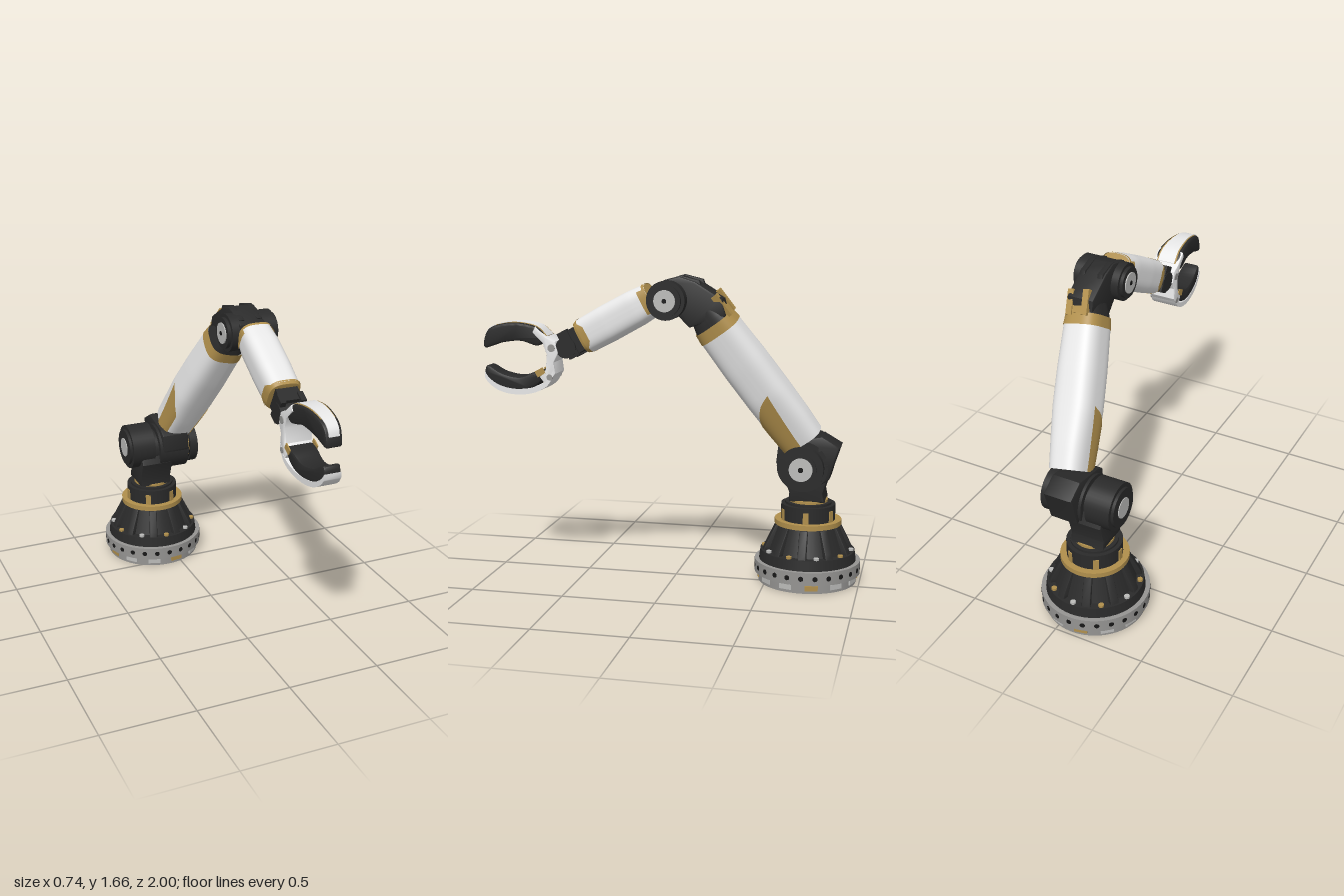
import * as THREE from 'three';
import { toCreasedNormals } from 'three/addons/utils/BufferGeometryUtils.js';

const material = (name, color, side = THREE.FrontSide) => {
  const m = new THREE.MeshStandardMaterial({ color, side });
  m.name = name;
  return m;
};

export function createModel() {
  const white = material('white shell', 0xe8e8e8, THREE.DoubleSide);
  const black = material('black casing', 0x2a2a2a);
  const gold = material('gold trim', 0xb08f4c, THREE.DoubleSide);
  const grey = material('grey metal', 0x959492);
  const light = material('light metal', 0xbcbcba);
  const dark = material('dark recess', 0x171717);
  const root = new THREE.Group();
  root.name = 'robotArm';

  const add = (name, geo, mat, x = 0, y = 0, z = 0, parent = root) => {
    const m = new THREE.Mesh(geo, mat);
    m.name = name;
    m.position.set(x, y, z);
    parent.add(m);
    return m;
  };
  const group = (name, x, y, z, parent = root) => {
    const g = new THREE.Group();
    g.name = name;
    g.position.set(x, y, z);
    parent.add(g);
    return g;
  };
  const box = (w, h, d) => new THREE.BoxGeometry(w, h, d);
  // Upright drum between two heights
  const drum = (name, parent, mat, y0, y1, r0, r1 = r0) =>
    add(name, new THREE.CylinderGeometry(r1, r0, y1 - y0, 48), mat, 0, (y0 + y1) / 2, 0, parent);
  // Drum lying along x
  const disc = (name, mat, x0, x1, r, y, z, seg = 40) =>
    add(name, new THREE.CylinderGeometry(r, r, x1 - x0, seg).rotateZ(Math.PI / 2), mat, (x0 + x1) / 2, y, z);
  // Side outline of [z, y] points given thickness across x, with bevelled edges
  const slab = (points, width, bevel = 0.012, smooth = false) => {
    const v = points.map(p => new THREE.Vector2(p[0], p[1]));
    const shape = new THREE.Shape(smooth ? new THREE.SplineCurve([...v, v[0]]).getPoints(48).slice(0, -1) : v);
    const geo = new THREE.ExtrudeGeometry(shape, {
      depth: width - 2 * bevel, steps: 1, bevelEnabled: bevel > 0,
      bevelSize: bevel, bevelOffset: -bevel, bevelThickness: bevel, bevelSegments: 2,
    });
    geo.translate(0, 0, bevel - width / 2).rotateY(-Math.PI / 2);
    return toCreasedNormals(geo, 0.6);
  };

  // Rounded-box sleeve along z: stations are [z, halfWidth, halfHeight]
  const power = (v, e) => Math.sign(v) * Math.pow(Math.abs(v), e);
  const sleeve = (stations, grow = 0, from = () => 0, to = () => Math.PI * 2, z0 = null, z1 = null) => {
    const first = z0 ?? stations[0][0], last = z1 ?? stations.at(-1)[0];
    const at = z => {
      let i = 0;
      while (i < stations.length - 2 && z > stations[i + 1][0]) i++;
      const [a, b] = [stations[i], stations[i + 1]];
      const k = (z - a[0]) / (b[0] - a[0]);
      return [a[1] + (b[1] - a[1]) * k + grow, a[2] + (b[2] - a[2]) * k + grow];
    };
    const pos = [], index = [], rows = 24, cols = 64;
    for (let i = 0; i <= rows; i++) {
      const t = i / rows, z = first + (last - first) * t, [w, h] = at(z);
      for (let j = 0; j <= cols; j++) {
        const a = from(t) + (to(t) - from(t)) * j / cols;
        pos.push(w * power(Math.cos(a), 0.65), h * power(Math.sin(a), 0.65), z);
        if (i < rows && j < cols) {
          const p = i * (cols + 1) + j, q = p + cols + 1;
          index.push(p, p + 1, q, p + 1, q + 1, q);
        }
      }
    }
    const geo = new THREE.BufferGeometry();
    geo.setAttribute('position', new THREE.Float32BufferAttribute(pos, 3));
    geo.setIndex(index);
    geo.computeVertexNormals();
    return geo;
  };

  // Base: stacked drums
  const base = group('base', -0.083, 0, -0.715);
  drum('footRing', base, grey, 0, 0.055, 0.265);
  drum('boltRing', base, grey, 0.05, 0.12, 0.286);
  drum('skirt', base, black, 0.12, 0.175, 0.262, 0.255);
  drum('cone', base, black, 0.175, 0.318, 0.215, 0.165);
  drum('lowerGoldRing', base, gold, 0.318, 0.345, 0.18);
  drum('turret', base, black, 0.345, 0.43, 0.146);
  drum('turretCap', base, black, 0.43, 0.442, 0.125);
  drum('upperGoldRing', base, gold, 0.442, 0.456, 0.104);
  const radial = (count, r, build, phase = 0) => {
    for (let i = 0; i < count; i++) {
      const spoke = group('spoke', 0, 0, 0, base);
      spoke.rotation.y = phase + i * Math.PI * 2 / count;
      build(group('mount', 0, 0, r, spoke), i);
    }
  };
  radial(24, 0.284, g => add('ringBolt',
    new THREE.CylinderGeometry(0.014, 0.014, 0.006, 10).rotateX(Math.PI / 2), dark, 0, 0.086, 0, g));
  radial(12, 0.263, (g, i) => add('footPlate', box(0.07, 0.028, 0.012), i % 3 ? light : gold, 0, 0.03, 0, g), 0.2);
  radial(10, 0, g => add('rib',
    slab([[0.15, 0.17], [0.245, 0.17], [0.235, 0.2], [0.178, 0.315], [0.15, 0.315]], 0.045, 0.006), black, 0, 0, 0, g), 0.3);
  radial(10, 0.236, (g, i) => add('skirtBolt',
    new THREE.CylinderGeometry(0.015, 0.015, 0.014, 8), i % 2 ? light : gold, 0, 0.18, 0, g));
  radial(6, 0.146, g => add('turretTab', box(0.03, 0.06, 0.01), gold, 0, 0.375, 0, g), 0.55);

  // Shoulder: pedestal, motor, hub and angled bracket
  add('pedestal', slab([[-0.81, 0.45], [-0.62, 0.45], [-0.62, 0.5], [-0.58, 0.6], [-0.62, 0.7],
    [-0.79, 0.7], [-0.83, 0.6], [-0.8, 0.5]], 0.19), black, -0.09, 0, 0);
  const sy = 0.665, sz = -0.7;
  disc('motor', black, -0.235, -0.1, 0.128, 0.683, -0.71);
  disc('motorCap', black, -0.25, -0.235, 0.105, 0.683, -0.71);
  disc('motorPlate', light, -0.254, -0.25, 0.055, 0.683, -0.71);
  disc('motorNeck', black, -0.12, -0.05, 0.105, sy, sz);
  disc('hub', black, -0.075, 0.1, 0.135, sy, sz);
  disc('hubGroove', dark, 0.1, 0.12, 0.105, sy, sz);
  disc('hubGoldRing', gold, 0.108, 0.113, 0.11, sy, sz);
  disc('hubCap', black, 0.12, 0.166, 0.117, sy, sz);
  disc('hubRim', black, 0.166, 0.174, 0.081, sy, sz);
  disc('hubPlate', light, 0.174, 0.18, 0.062, sy, sz, 24);
  disc('hubPin', dark, 0.18, 0.183, 0.014, sy, sz, 12);
  add('shoulderBracket', slab([[-0.56, 0.68], [-0.57, 0.77], [-0.62, 0.8], [-0.8, 0.83], [-0.895, 0.775],
    [-0.86, 0.67], [-0.84, 0.6], [-0.78, 0.56], [-0.62, 0.56]], 0.16), black, 0.02, 0, 0);

  // Upper arm, built along its own z axis and leaning sideways from the shoulder
  const upper = group('upperArm', 0.055, 0.81, -0.69);
  upper.up.set(0.096, 0.429, -0.62);
  upper.lookAt(0.19, 1.415, -0.25);
  const upperSections = [[-0.01, 0.092, 0.113], [0.12, 0.1, 0.119], [0.3, 0.113, 0.12], [0.5, 0.111, 0.12], [0.74, 0.102, 0.113]];
  add('upperShell', sleeve(upperSections), white, 0, 0, 0, upper);
  add('upperCore', box(0.14, 0.17, 0.72), black, 0, 0, 0.38, upper);
  add('upperFootPlate', sleeve([[0, 0.005, 0.005], [0.004, 0.09, 0.11]]), gold, 0, 0, 0.004, upper);
  // Tapering gold panels on both lower flanks
  const flank = low => t => t < 0.6 ? low : low + (t - 0.6) / 0.4 * (0.11 - low);
  const highEdge = t => 0.11 * t * t;
  const leftLow = flank(-1), rightLow = flank(-0.9);
  add('goldPanelLeft', sleeve(upperSections, 0.004, leftLow, highEdge, -0.01, 0.32), gold, 0, 0, 0, upper);
  add('goldPanelRight', sleeve(upperSections, 0.004, t => Math.PI - highEdge(t), t => Math.PI - rightLow(t), -0.01, 0.32),
    gold, 0, 0, 0, upper);
  // Gold collar, black throat and pronged tab at the elbow end
  add('upperCollar', sleeve([[0.715, 0.106, 0.117], [0.775, 0.1, 0.11]]), gold, 0, 0, 0, upper);
  const throat = sleeve([[0.77, 0.096, 0.106], [0.8, 0.088, 0.098], [0.86, 0.07, 0.08], [0.862, 0.004, 0.004]]);
  add('collarThroat', throat, black, 0, 0, 0, upper);
  for (const s of [-1, 1]) add('collarProng', box(0.034, 0.035, 0.13), gold, s * 0.045, 0.102, 0.825, upper);
  add('collarBridge', box(0.12, 0.02, 0.035), gold, 0, 0.102, 0.79, upper);

  // Elbow
  add('elbowBracket', slab([[-0.13, 1.4], [-0.07, 1.46], [0.03, 1.45], [0.075, 1.51], [0.075, 1.6], [0.0, 1.64],
    [-0.08, 1.66], [-0.16, 1.635], [-0.3, 1.55], [-0.32, 1.46]], 0.15), black, 0.205, 0, 0);
  const ey = 1.54, ez = -0.02;
  for (const s of [-1, 1]) {
    const span = (name, mat, a, b, r, seg) =>
      disc(name, mat, 0.215 + Math.min(s * a, s * b), 0.215 + Math.max(s * a, s * b), r, ey, ez, seg);
    span('elbowDrum', black, 0.05, 0.125, 0.1);
    span('elbowRim', black, 0.125, 0.143, 0.082);
    span('elbowPlate', light, 0.143, 0.149, 0.056, 24);
    span('elbowPin', dark, 0.149, 0.152, 0.012, 12);
    add('elbowRidge', slab([[0.05, 1.62], [-0.08, 1.664], [-0.18, 1.64], [-0.2, 1.58], [0.03, 1.58]], 0.03, 0.004),
      black, 0.205 + s * 0.05, 0, 0);
  }

  // Forearm
  const fore = group('forearm', 0.213, 1.54, 0.07);
  fore.lookAt(0.2, 1.333, 0.45);
  const foreSections = [[0, 0.086, 0.086], [0.1, 0.093, 0.096], [0.28, 0.093, 0.098], [0.42, 0.088, 0.094]];
  add('forearmShell', sleeve(foreSections), white, 0, 0, 0, fore);
  add('forearmCollar', sleeve(foreSections, 0.003, undefined, undefined, 0, 0.015), gold, 0, 0, 0, fore);
  for (const s of [0, Math.PI]) {
    add('collarFlank', sleeve(foreSections, 0.004, () => s - 0.6, () => s + 0.6, 0.01, 0.045), gold, 0, 0, 0, fore);
    add('endFlank', sleeve(foreSections, 0.004, t => s - 0.25 - 0.5 * t, t => s + 0.25 + 0.5 * t, 0.385, 0.42), gold, 0, 0, 0, fore);
  }
  add('forearmBackCap', sleeve([[-0.006, 0.005, 0.005], [0, 0.086, 0.086]]), gold, 0, 0, 0, fore);
  add('forearmEndBand', sleeve([[0.412, 0.091, 0.096], [0.436, 0.085, 0.089], [0.442, 0.005, 0.005]]), gold, 0, 0, 0, fore);

  // Wrist
  add('wristBlock', box(0.12, 0.13, 0.09), black, 0, 0, 0.475, fore);
  add('wristDrum', new THREE.CylinderGeometry(0.055, 0.055, 0.145, 24).rotateZ(Math.PI / 2), black, 0, -0.01, 0.53, fore);
  for (const s of [-1, 1]) add('wristFork', box(0.03, 0.15, 0.06), black, s * 0.055, 0, 0.51, fore);

  // Gripper: yoke and two curved fingers narrowing to the tips
  const gx = 0.193;
  add('yoke', slab([[0.7, 1.385], [0.715, 1.355], [0.66, 1.3], [0.638, 1.24], [0.645, 1.16], [0.68, 1.12], [0.64, 1.07],
    [0.59, 1.14], [0.598, 1.2], [0.572, 1.25], [0.59, 1.31], [0.64, 1.335]], 0.156, 0.008), white, gx, 0, 0);
  for (const s of [-1, 1]) for (const [z, y, r] of [[0.61, 1.275, 0.02], [0.622, 1.12, 0.016]])
    disc('yokePin', grey, gx + s * 0.078 - 0.004, gx + s * 0.078 + 0.004, r, y, z, 16);
  const taper = geo => {
    const p = geo.attributes.position;
    for (let i = 0; i < p.count; i++) p.setX(i, p.getX(i) * (1.05 - 0.45 * Math.max(0, (p.getZ(i) - 0.66) / 0.34)));
    return geo;
  };
  const finger = (name, points, mat, width) => add(name, taper(slab(points, width, 0.014, true)), mat, gx, 0, 0);
  finger('upperFingerPad', [[0.64, 1.33], [0.7, 1.385], [0.82, 1.403], [0.93, 1.385], [0.985, 1.345], [0.997, 1.265],
    [0.9, 1.293], [0.79, 1.307], [0.69, 1.285]], black, 0.145);
  finger('lowerFingerPad', [[0.655, 1.15], [0.72, 1.14], [0.8, 1.113], [0.9, 1.13], [0.98, 1.17], [0.995, 1.12],
    [0.95, 1.07], [0.86, 1.04], [0.76, 1.045], [0.68, 1.09]], black, 0.145);
  // White backs and thin gold edging following the outside of each finger
  const back = (name, arc, thick, width, mat) => {
    const curve = new THREE.SplineCurve(arc.map(p => new THREE.Vector2(...p))).getPoints(20);
    const inner = curve.map(p => [p.x, p.y + thick]).reverse();
    add(name, taper(slab([...curve.map(p => [p.x, p.y]), ...inner], width, 0)), mat, gx, 0, 0);
  };
  const topArc = [[0.64, 1.338], [0.7, 1.39], [0.82, 1.408], [0.93, 1.39], [0.985, 1.352], [1.0, 1.29]];
  const lowArc = [[0.6, 1.13], [0.64, 1.07], [0.72, 1.032], [0.82, 1.02], [0.91, 1.035], [0.97, 1.07], [0.998, 1.105]];
  back('upperFingerBack', topArc, -0.008, 0.095, white);
  back('upperFingerEdge', topArc.slice(0, 4).map(([z, y]) => [z, y - 0.002]), -0.006, 0.11, gold);
  back('lowerFingerBack', lowArc, 0.03, 0.152, white);
  for (const s of [-1, 1]) add('fingerRootTrim', box(0.006, 0.035, 0.05), gold, gx + s * 0.075, 1.145, 0.675).rotation.x = 0.5;

  return root;
}
